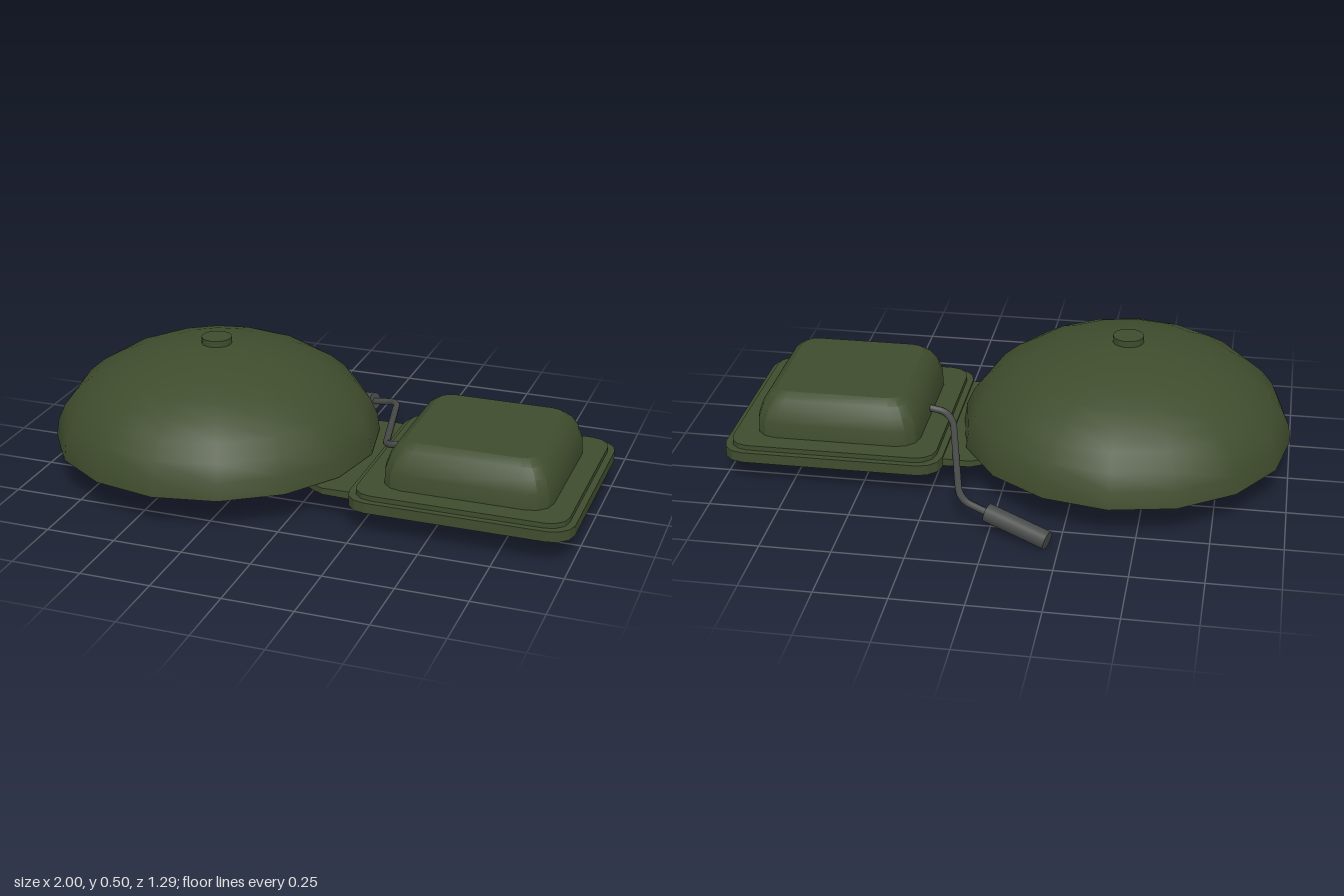
import * as THREE from 'three';
import { toCreasedNormals } from 'three/addons/utils/BufferGeometryUtils.js';

const green = new THREE.MeshStandardMaterial({ color: 0x3f4c2d });
const steel = new THREE.MeshStandardMaterial({ color: 0x484a4a });
const CZ = 0.045; // shared centre line of gong and box
const BX = 0.605; // centre of the box

function add(parent, name, geometry, material, x = 0, y = 0, z = 0) {
  const mesh = new THREE.Mesh(geometry, material);
  mesh.name = name;
  mesh.position.set(x, y, z);
  parent.add(mesh);
  return mesh;
}

// Outline points of a square with rounded corners
function roundedSquare(half, radius, steps = 3) {
  const pts = [];
  for (let c = 0; c < 4; c++) {
    const mid = Math.PI / 4 + c * Math.PI / 2;
    const cx = Math.sign(Math.cos(mid)) * (half - radius);
    const cy = Math.sign(Math.sin(mid)) * (half - radius);
    for (let i = 0; i <= steps; i++) {
      const a = (c + i / steps) * Math.PI / 2;
      pts.push(new THREE.Vector2(cx + radius * Math.cos(a), cy + radius * Math.sin(a)));
    }
  }
  return pts;
}

// Flat plate lying on y = 0, with an optional hole
function plate(points, height, hole) {
  const shape = new THREE.Shape(points);
  if (hole) shape.holes.push(new THREE.Path(hole));
  return new THREE.ExtrudeGeometry(shape, { depth: height, bevelEnabled: false }).rotateX(-Math.PI / 2);
}

// Skin over stacked rounded squares [half, radius, y], closed on top
function loftSquares(levels) {
  const pos = [], index = [];
  const n = roundedSquare(1, 0.1).length;
  for (const [half, radius, y] of levels)
    for (const p of roundedSquare(half, radius)) pos.push(p.x, y, -p.y);
  for (let l = 0; l < levels.length - 1; l++)
    for (let i = 0; i < n; i++) {
      const a = l * n + i, b = l * n + (i + 1) % n;
      index.push(a, b, b + n, a, b + n, a + n);
    }
  const top = (levels.length - 1) * n;
  for (let i = 1; i < n - 1; i++) index.push(top, top + i, top + i + 1);
  const g = new THREE.BufferGeometry();
  g.setAttribute('position', new THREE.Float32BufferAttribute(pos, 3));
  g.setIndex(index);
  g.computeVertexNormals();
  return toCreasedNormals(g, 0.45);
}

export function createModel() {
  const model = new THREE.Group();
  model.name = 'electricBell';

  // Domed gong with a flat underside
  const profile = [new THREE.Vector2(0, 0)];
  for (let i = 0; i <= 9; i++) {
    const a = i / 9 * Math.PI / 2;
    profile.push(new THREE.Vector2(i === 9 ? 0 : 0.593 * Math.cos(a), 0.355 * Math.sin(a)));
  }
  add(model, 'gong', toCreasedNormals(new THREE.LatheGeometry(profile, 16), 0.7), green, -0.407, 0.13, CZ);
  add(model, 'gongNut', new THREE.CylinderGeometry(0.055, 0.055, 0.035, 20), green, -0.407, 0.488, CZ);

  // Arm under the gong: tapers in plan and in thickness towards its tip
  const side = [[0.25, 0.315], [0.11, 0.315], [0.07, 0.295], [-0.03, 0.235], [-0.17, 0.135], [-0.28, 0.045]];
  const outline = [...side, [-0.31, 0], ...side.map(([x, z]) => [x, -z]).reverse()]
    .map(([x, z]) => new THREE.Vector2(x, z));
  const arm = plate(outline, 1);
  const p = arm.attributes.position;
  for (let i = 0; i < p.count; i++) {
    const t = (p.getX(i) + 0.31) / 0.56;
    p.setY(i, p.getY(i) > 0.5 ? 0.119 + 0.006 * t : 0.113 - 0.017 * t);
  }
  arm.computeVertexNormals();
  add(model, 'supportArm', arm, green, 0, 0, CZ);

  // Base: hollow rim below, thin flange above
  add(model, 'baseRim', plate(roundedSquare(0.395, 0.08), 0.038, roundedSquare(0.335, 0.01)), green, BX, 0.094, CZ);
  add(model, 'baseFlange', plate(roundedSquare(0.372, 0.07), 0.038), green, BX, 0.112, CZ);

  // Cover with rounded shoulders
  add(model, 'cover', loftSquares([
    [0.298, 0.08, 0.148], [0.296, 0.08, 0.205], [0.282, 0.08, 0.25],
    [0.26, 0.07, 0.285], [0.23, 0.05, 0.305],
  ]), green, BX, 0, CZ);

  // Striker rod, bent twice, and its hammer
  const bends = [[0.36, 0.185, 0.015], [0.25, 0.165, 0.015], [0.215, 0.145, -0.03],
    [0.115, 0.11, -0.47], [0.085, 0.1, -0.515], [-0.02, 0.075, -0.55]]
    .map(b => new THREE.Vector3(...b));
  const path = new THREE.CurvePath();
  const rounding = 0.035;
  let from = bends[0];
  for (let i = 1; i < bends.length - 1; i++) {
    const before = bends[i].clone().add(bends[i - 1].clone().sub(bends[i]).setLength(rounding * 0.7));
    const after = bends[i].clone().add(bends[i + 1].clone().sub(bends[i]).setLength(rounding * 0.7));
    path.add(new THREE.LineCurve3(from, before));
    path.add(new THREE.QuadraticBezierCurve3(before, bends[i], after));
    from = after;
  }
  path.add(new THREE.LineCurve3(from, bends[bends.length - 1]));
  add(model, 'strikerRod', new THREE.TubeGeometry(path, 60, 0.013, 8), steel);

  const start = new THREE.Vector3(0.003, 0.081, -0.542);
  const end = new THREE.Vector3(-0.213, 0.035, -0.617);
  const axis = end.clone().sub(start);
  const hammer = add(model, 'hammer', new THREE.CylinderGeometry(0.033, 0.033, axis.length(), 16), steel);
  hammer.position.copy(start).add(end).multiplyScalar(0.5);
  hammer.quaternion.setFromUnitVectors(new THREE.Vector3(0, 1, 0), axis.normalize());

  return model;
}
